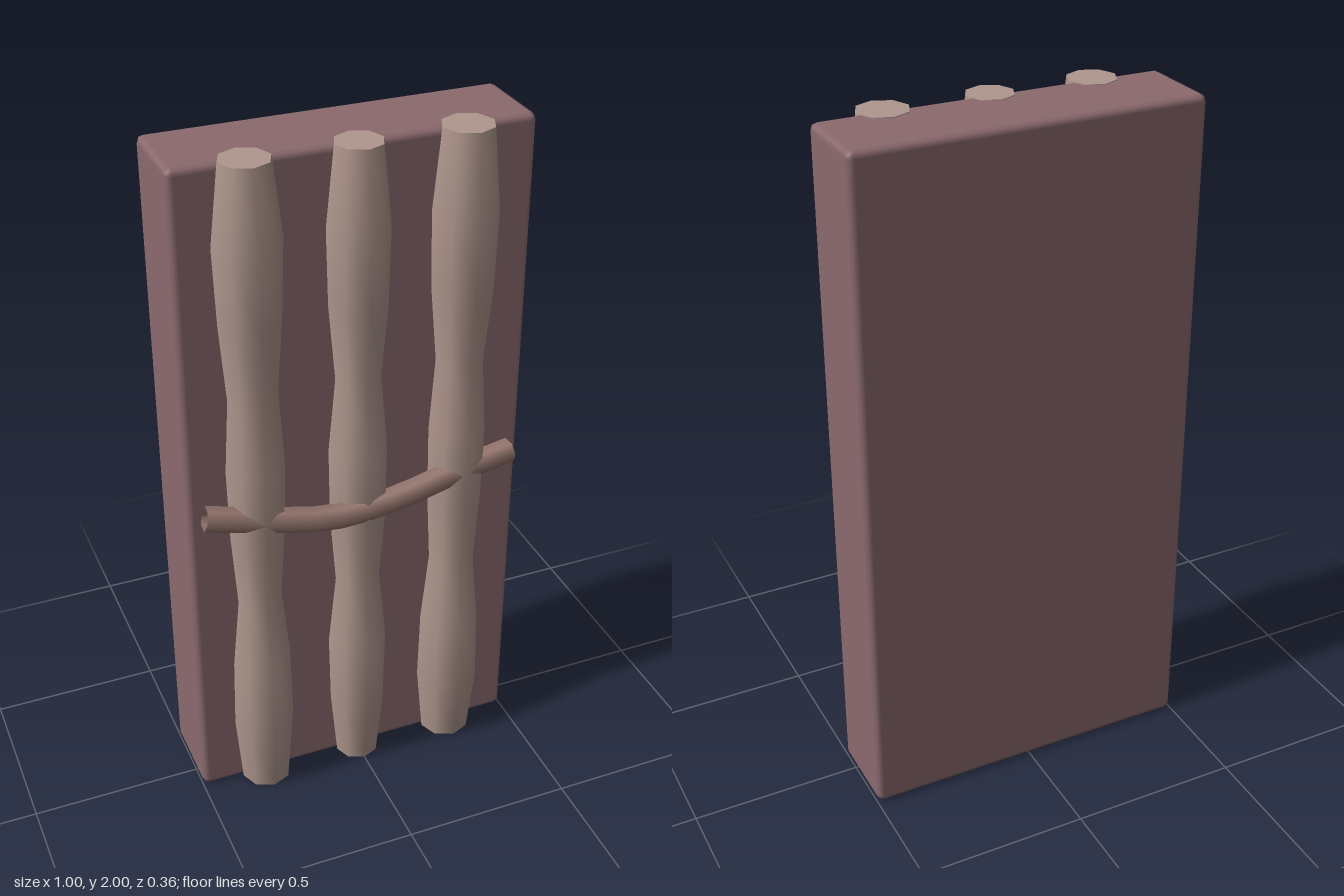
import * as THREE from 'three';
import { RoundedBoxGeometry } from 'three/addons/geometries/RoundedBoxGeometry.js';

const HEIGHT = 2;
const SIDES = 8;

const slabMaterial = new THREE.MeshStandardMaterial({ color: 0x8b6a6e });
const stalkMaterial = new THREE.MeshStandardMaterial({ color: 0xb0978e });
const tieMaterial = new THREE.MeshStandardMaterial({ color: 0x987870, side: THREE.DoubleSide });

// Bulging eight-sided stalk, half sunk into the slab
function createStalk(name, x, radii) {
  const stalk = new THREE.Group();
  stalk.name = name;
  const profile = radii.map((r, i) => new THREE.Vector2(r, (HEIGHT * i) / (radii.length - 1)));
  const body = new THREE.Mesh(new THREE.LatheGeometry(profile, SIDES), stalkMaterial);
  body.name = name + 'Body';
  stalk.add(body);

  // Flat end caps
  for (const end of [0, 1]) {
    const radius = radii[end * (radii.length - 1)];
    const cap = new THREE.Mesh(new THREE.CircleGeometry(radius, SIDES), stalkMaterial);
    cap.name = name + (end ? 'TopCap' : 'BottomCap');
    cap.rotation.x = end ? -Math.PI / 2 : Math.PI / 2;
    cap.position.y = end * HEIGHT;
    stalk.add(cap);
  }
  stalk.position.set(x, 0, 0.08);
  return stalk;
}

export function createModel() {
  const model = new THREE.Group();
  model.name = 'stalkPanel';

  // Backing slab with softened edges
  const slab = new THREE.Mesh(new RoundedBoxGeometry(1, HEIGHT - 0.004, 0.26, 1, 0.02), slabMaterial);
  slab.name = 'slab';
  slab.position.set(0, HEIGHT / 2, -0.05);
  model.add(slab);

  // Three stalks, radii listed from bottom to top
  model.add(
    createStalk('rightStalk', -0.3, [0.074, 0.092, 0.087, 0.065, 0.08, 0.085, 0.071, 0.088, 0.096, 0.07]),
    createStalk('middleStalk', 0, [0.065, 0.085, 0.09, 0.067, 0.084, 0.087, 0.066, 0.085, 0.09, 0.067]),
    createStalk('leftStalk', 0.3, [0.076, 0.097, 0.092, 0.07, 0.082, 0.085, 0.07, 0.09, 0.095, 0.073])
  );

  // Sagging tie strand across the stalks, open at both ends
  const path = new THREE.CatmullRomCurve3([
    new THREE.Vector3(-0.46, 1.0, 0.11),
    new THREE.Vector3(-0.3, 0.965, 0.125),
    new THREE.Vector3(-0.1, 0.932, 0.142),
    new THREE.Vector3(0.1, 0.945, 0.138),
    new THREE.Vector3(0.3, 0.98, 0.122),
    new THREE.Vector3(0.46, 1.0, 0.11),
  ]);
  const tie = new THREE.Mesh(new THREE.TubeGeometry(path, 12, 0.036, 6), tieMaterial);
  tie.name = 'tie';
  model.add(tie);

  return model;
}
